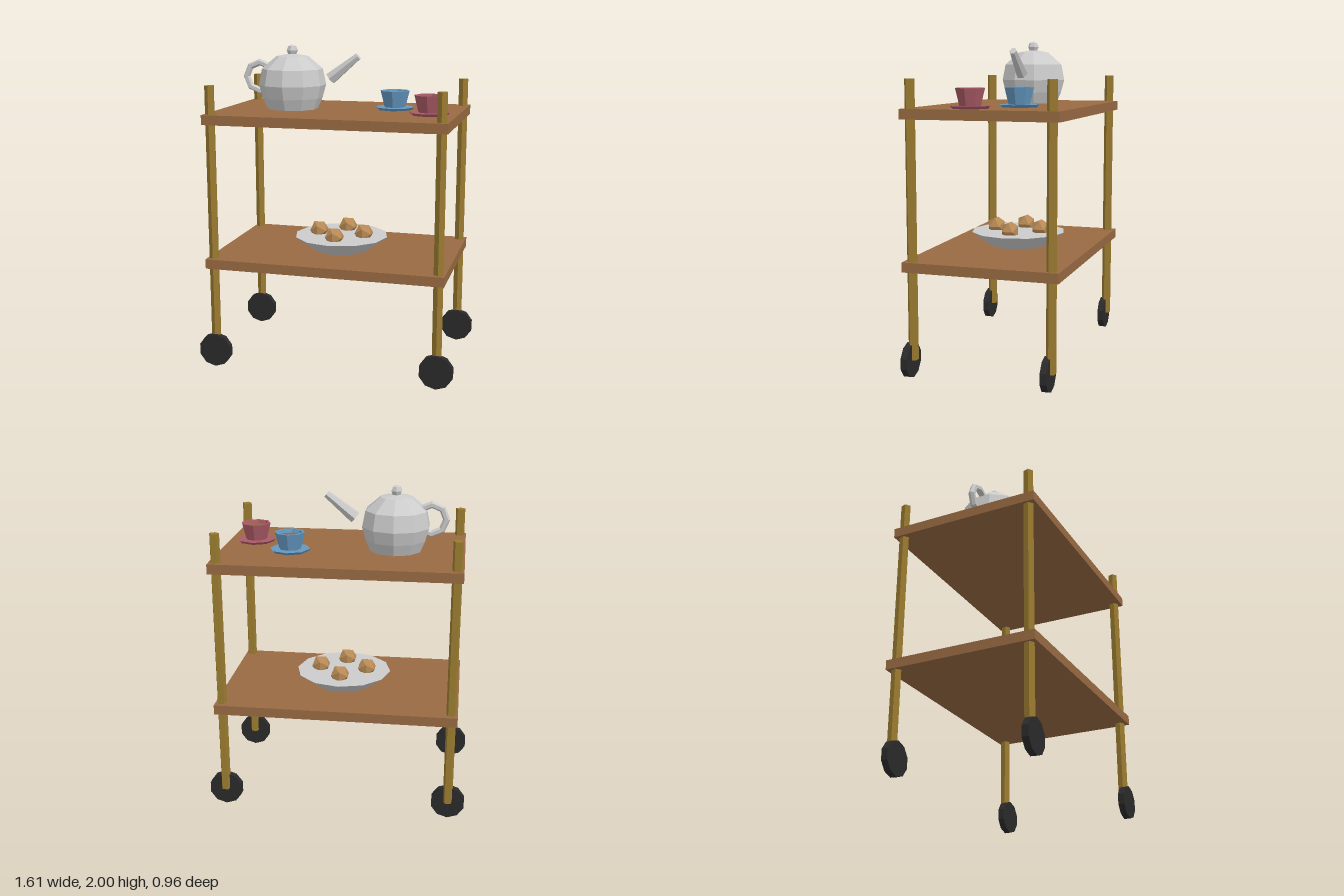
import * as THREE from 'three';

const mat = (color, side = THREE.FrontSide) =>
  new THREE.MeshStandardMaterial({ color, flatShading: true, side });
const GREY = mat(0xcccccc);
const WOOD = mat(0x986a42);
const BRASS = mat(0x9a7b30);
const RUBBER = mat(0x2a2a2a);
const TEA = mat(0x94663c);
const BUN = mat(0xb88a55);

function add(parent, name, geometry, material, x = 0, y = 0, z = 0) {
  const mesh = new THREE.Mesh(geometry, material);
  mesh.name = name;
  mesh.position.set(x, y, z);
  parent.add(mesh);
  return mesh;
}

function group(parent, name, x, y, z) {
  const g = new THREE.Group();
  g.name = name;
  g.position.set(x, y, z);
  parent.add(g);
  return g;
}

const lathe = (points, sides) =>
  new THREE.LatheGeometry(points.map(([r, y]) => new THREE.Vector2(r, y)), sides);

function addTeapot(parent, x, y, z) {
  const pot = group(parent, 'teapot', x, y, z);
  const profile = [[0, 0], [0.16, 0], [0.19, 0.07], [0.212, 0.15], [0.192, 0.25], [0.1, 0.328], [0, 0.345]];
  add(pot, 'teapotBody', lathe(profile, 10), GREY);
  add(pot, 'lidKnob', new THREE.SphereGeometry(0.036, 6, 4).rotateY(Math.PI / 6), GREY, 0, 0.364, 0);
  add(pot, 'teapotHandle', new THREE.TorusGeometry(0.09, 0.022, 6, 8), GREY, -0.215, 0.196, 0);
  // Spout stands clear of the body, tilted outward
  const spout = add(pot, 'teapotSpout', new THREE.CylinderGeometry(0.023, 0.04, 0.226, 6), GREY, 0.338, 0.264, 0);
  spout.rotation.z = -0.9;
}

function addCup(parent, color, x, y, z) {
  const china = mat(color, THREE.DoubleSide);
  const cup = group(parent, 'cupAndSaucer', x, y, z);
  add(cup, 'saucer', new THREE.CylinderGeometry(0.125, 0.11, 0.016, 8), china, 0, 0.008, 0);
  const profile = [[0, 0.012], [0.066, 0.012], [0.093, 0.118], [0.077, 0.118], [0.066, 0.085]];
  add(cup, 'cup', lathe(profile, 8), china);
  add(cup, 'tea', new THREE.CylinderGeometry(0.068, 0.066, 0.006, 8), TEA, 0, 0.093, 0);
}

export function createModel() {
  const cart = new THREE.Group();
  cart.name = 'teaCart';

  // Shelves
  add(cart, 'lowerShelf', new THREE.BoxGeometry(1.49, 0.06, 0.956), WOOD, 0, 0.675, 0);
  add(cart, 'upperShelf', new THREE.BoxGeometry(1.49, 0.06, 0.956), WOOD, 0, 1.572, 0);

  // Posts and wheels
  const post = new THREE.CylinderGeometry(0.031, 0.031, 1.665, 5);
  const wheel = new THREE.CylinderGeometry(0.106, 0.106, 0.04, 10).rotateX(Math.PI / 2);
  for (const x of [-0.705, 0.705]) {
    for (const z of [-0.427, 0.427]) {
      add(cart, 'post', post, BRASS, x, 0.9425, z);
      add(cart, 'wheel', wheel, RUBBER, x, 0.106, z + 0.019);
    }
  }

  // Tea set on the upper shelf
  addTeapot(cart, -0.32, 1.602, 0);
  addCup(cart, 0x6497c0, 0.318, 1.602, -0.109);
  addCup(cart, 0xaa5a66, 0.574, 1.602, 0.106);

  // Plate of buns on the lower shelf
  add(cart, 'plate', new THREE.CylinderGeometry(0.3, 0.18, 0.09, 12), GREY, 0, 0.75, 0);
  const bun = new THREE.IcosahedronGeometry(0.063, 0);
  for (let i = 0; i < 4; i++) {
    const a = i * Math.PI / 2 + 0.04;
    add(cart, 'bun', bun, BUN, 0.15 * Math.cos(a), 0.8165, 0.15 * Math.sin(a));
  }
  return cart;
}
